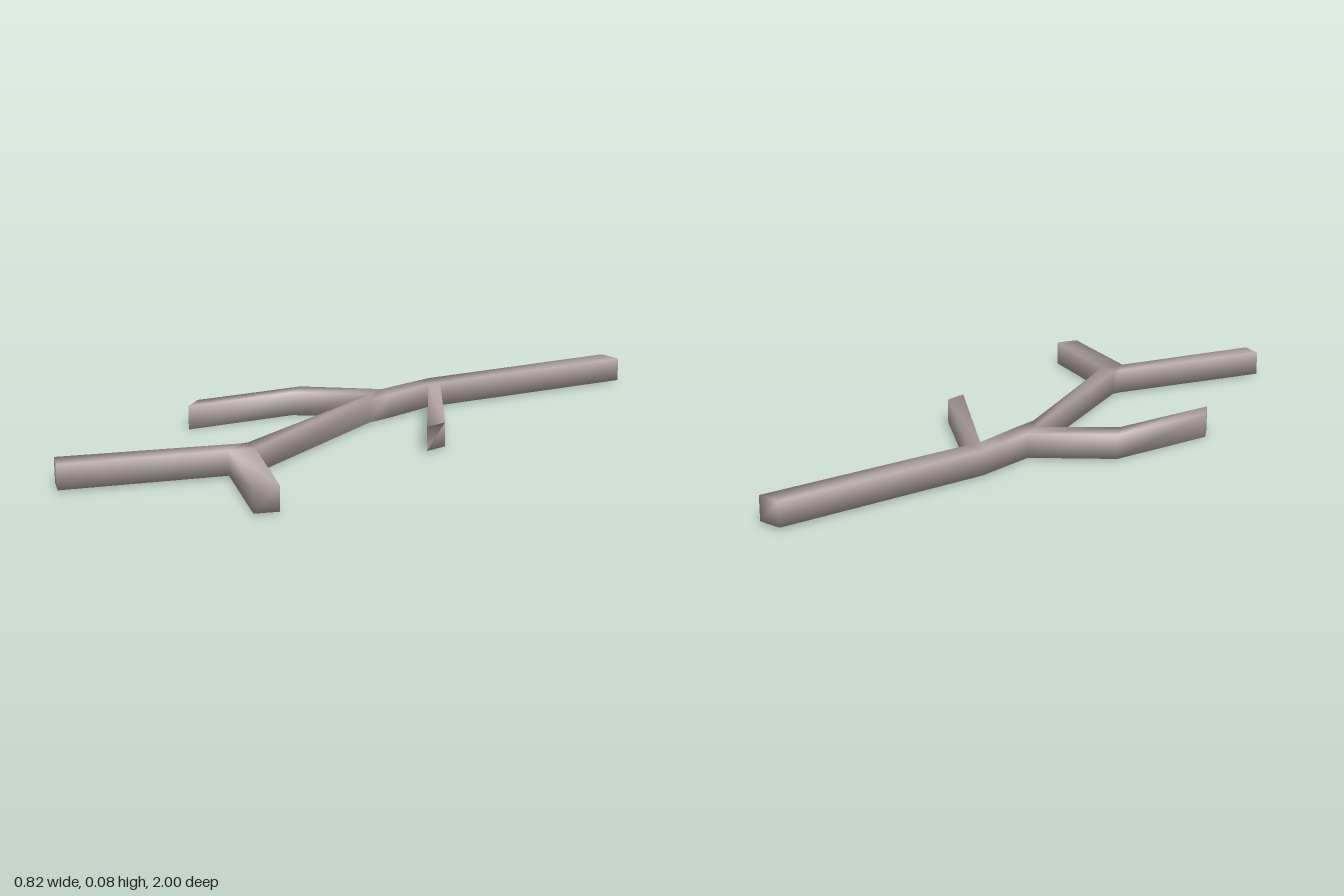
import * as THREE from 'three';

const HEIGHT = 0.073;

// Outline corners seen from above: [x, z, underside height]
const P = {
  topL: [0.016, -1, 0.006], topR: [0.09, -1, 0.006],
  bendL: [-0.13, -0.36, 0.006], bendR: [-0.065, -0.35, 0.006],
  neckL: [-0.13, -0.29, 0.006], neckR: [-0.075, -0.31, 0.006],
  forkL: [-0.13, -0.165, 0.005], forkR: [-0.065, -0.14, 0.005],
  midL: [-0.107, -0.1, 0.005], midR: [-0.065, -0.06, 0.005],
  lowL: [0.053, 0.485, 0.006], lowR: [0.11, 0.5, 0.006],
  crotchL: [0.045, 0.51, 0.006], crotchR: [0.08, 0.57, 0.006],
  endL: [-0.18, 0.968, 0.006], endR: [-0.116, 0.998, 0.006],
  // thin side twig
  twigA: [0.264, 0, 0.006], twigB: [0.264, -0.07, 0.006],
  // bent side branch
  elbowA: [-0.328, 0, 0.001], elbowB: [-0.29, 0.062, 0.001],
  tipA: [-0.41, 0.33, 0], tipB: [-0.372, 0.392, 0],
  // short lower branch
  stubA: [0.376, 0.706, 0.006], stubB: [0.408, 0.643, 0.006],
};

// Each limb is a strip of left/right corner pairs; side limbs start on a trunk edge
const LIMBS = [
  ['topL', 'topR', 'bendL', 'bendR', 'neckL', 'neckR', 'forkL', 'forkR',
    'midL', 'midR', 'lowL', 'lowR', 'crotchL', 'crotchR', 'endL', 'endR'],
  ['neckR', 'bendR', 'twigA', 'twigB'],
  ['forkL', 'midL', 'elbowA', 'elbowB', 'tipA', 'tipB'],
  ['crotchR', 'lowR', 'stubA', 'stubB'],
];

export function createModel() {
  const bark = new THREE.MeshStandardMaterial({ color: 0xb5a7a9 });
  bark.name = 'greyBark';
  const under = new THREE.MeshStandardMaterial({ color: 0xa06468 });
  under.name = 'redUnderside';

  const names = Object.keys(P);
  const id = (n) => names.indexOf(n);
  const N = names.length;
  const positions = [];
  for (const n of names) positions.push(P[n][0], P[n][2], P[n][1]);
  for (const n of names) positions.push(P[n][0], P[n][2] + HEIGHT, P[n][1]);

  const upper = [], lower = [], edges = new Set();
  for (const limb of LIMBS) {
    for (let i = 0; i + 3 < limb.length; i += 2) {
      const [l0, r0, l1, r1] = limb.slice(i, i + 4).map(id);
      upper.push(l0 + N, l1 + N, r1 + N, l0 + N, r1 + N, r0 + N);
      lower.push(l0, r1, l1, l0, r0, r1);
      const ring = [l0, l1, r1, r0];
      ring.forEach((a, k) => edges.add(`${a},${ring[(k + 1) % 4]}`));
    }
  }
  // Upright walls and end caps on every outline edge not shared by two strips
  for (const e of edges) {
    const [a, b] = e.split(',').map(Number);
    if (!edges.has(`${b},${a}`)) upper.push(a, b, b + N, a, b + N, a + N);
  }

  const geo = new THREE.BufferGeometry();
  geo.setAttribute('position', new THREE.Float32BufferAttribute(positions, 3));
  geo.setIndex([...upper, ...lower]);
  geo.addGroup(0, upper.length, 0);
  geo.addGroup(upper.length, lower.length, 1);
  geo.computeVertexNormals();

  const branch = new THREE.Mesh(geo, [bark, under]);
  branch.name = 'forkedBranch';
  const group = new THREE.Group();
  group.name = 'fallenBranch';
  group.add(branch);
  return group;
}
